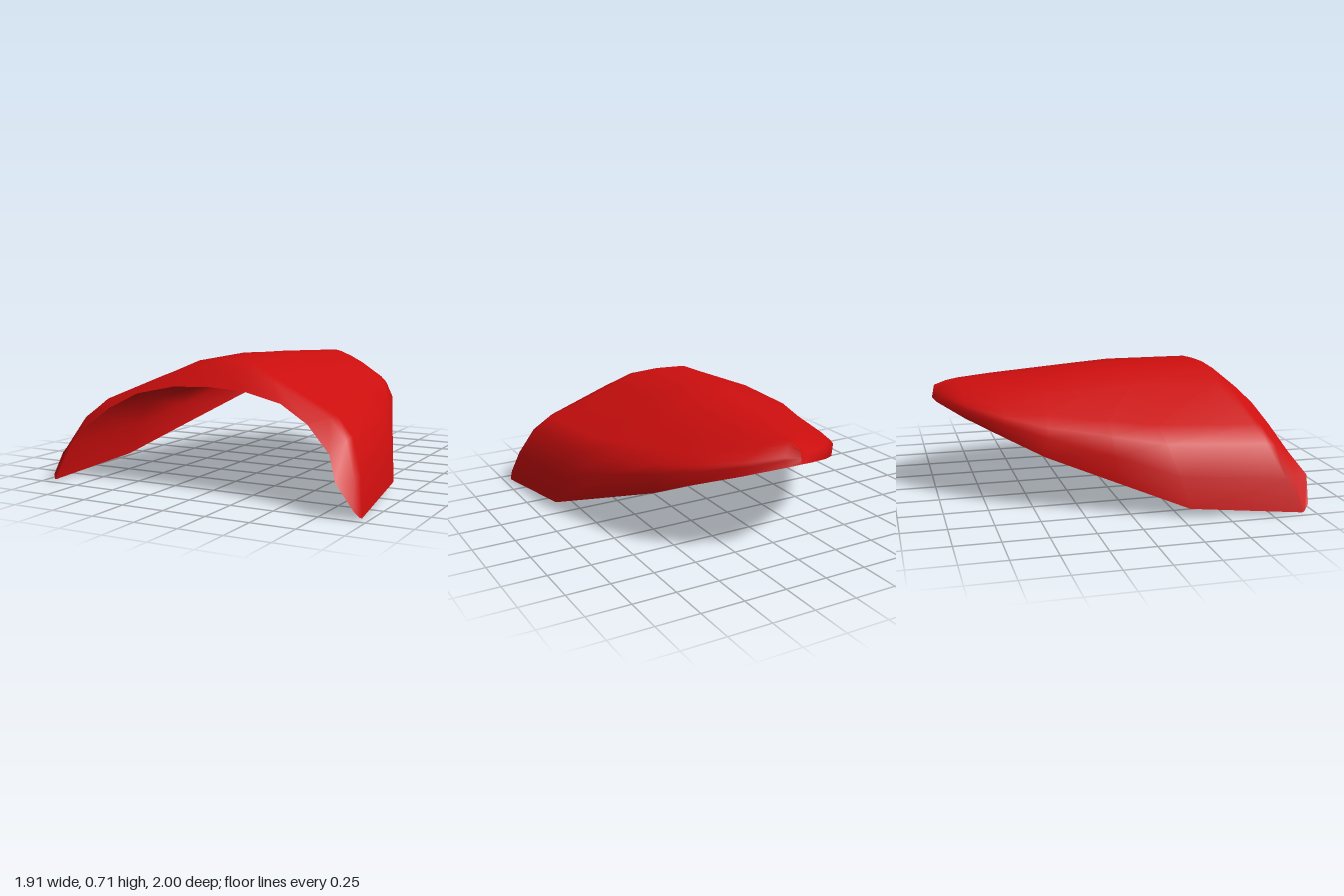
import * as THREE from 'three';

const lerp = THREE.MathUtils.lerp;

// Half cross-sections from ridge to rim: [share of half width, share of height]
const broad = [[0, 1], [0.178, 0.985], [0.345, 0.887], [0.764, 0.648], [0.869, 0.52], [0.953, 0.268], [1, 0]];
const rolled = [[0, 1], [0.25, 0.96], [0.51, 0.8], [0.81, 0.56], [0.94, 0.42], [1.015, 0.29], [1, 0]];

// Front lip, from centre to the foot of the leg
const lip = [
  [0, 0.58, 0.8], [0.22, 0.57, 0.805], [0.45, 0.52, 0.82], [0.62, 0.43, 0.855],
  [0.77, 0.3, 0.915], [0.84, 0.18, 1], [0.93, 0.04, 0.975],
];

// Sections front to back: half width, ridge y, rim y, ridge z, rim z, blend to rolled
const stations = [
  [0.955, 0.71, 0, 0.6, 0.93, 0],
  [0.885, 0.715, 0.05, 0.1, 0.3, 0.1],
  [0.74, 0.705, 0.18, -0.1, -0.07, 0.55],
  [0.59, 0.685, 0.31, -0.4, -0.44, 1],
  [0.47, 0.668, 0.4, -0.65, -0.64, 1],
  [0.28, 0.655, 0.48, -0.84, -0.84, 1],
  [0.08, 0.65, 0.54, -0.91, -0.98, 1],
  [0, 0.625, 0.55, -0.985, -1, 1],
];

function section([w, yTop, yRim, zTop, zRim, blend]) {
  return broad.map(([u, v], i) => {
    const s = lerp(u, rolled[i][0], blend);
    const t = lerp(v, rolled[i][1], blend);
    return [w * s, lerp(yRim, yTop, t), lerp(zRim, zTop, t)];
  });
}

// Loft half sections, mirrored across x, into one smooth sheet
function loft(rows) {
  const positions = [];
  const indices = [];
  for (const half of rows) {
    const left = half.slice(1).reverse().map(([x, y, z]) => [-x, y, z]);
    positions.push(...[...left, ...half].flat());
  }
  const n = rows[0].length * 2 - 1;
  for (let j = 0; j < rows.length - 1; j++) {
    for (let i = 0; i < n - 1; i++) {
      const a = j * n + i;
      const c = a + n;
      indices.push(a, a + 1, c, a + 1, c + 1, c);
    }
  }
  const geometry = new THREE.BufferGeometry();
  geometry.setAttribute('position', new THREE.Float32BufferAttribute(positions, 3));
  geometry.setIndex(indices);
  geometry.computeVertexNormals();
  return geometry;
}

export function createModel() {
  const red = new THREE.MeshStandardMaterial({ color: 0xcc0e0e, side: THREE.DoubleSide });
  red.name = 'red';

  const body = stations.map(section);
  // Rounded bend between the body and the front lip
  const bend = body[0].map(([x, y, z], i) => [
    lerp(x, lip[i][0], 0.2), lerp(y, lip[i][1], 0.15), lerp(z, lip[i][2], 0.35),
  ]);

  const shell = new THREE.Mesh(loft([lip, bend, ...body]), red);
  shell.name = 'curvedShell';

  const group = new THREE.Group();
  group.name = 'curvedCover';
  group.add(shell);
  return group;
}
